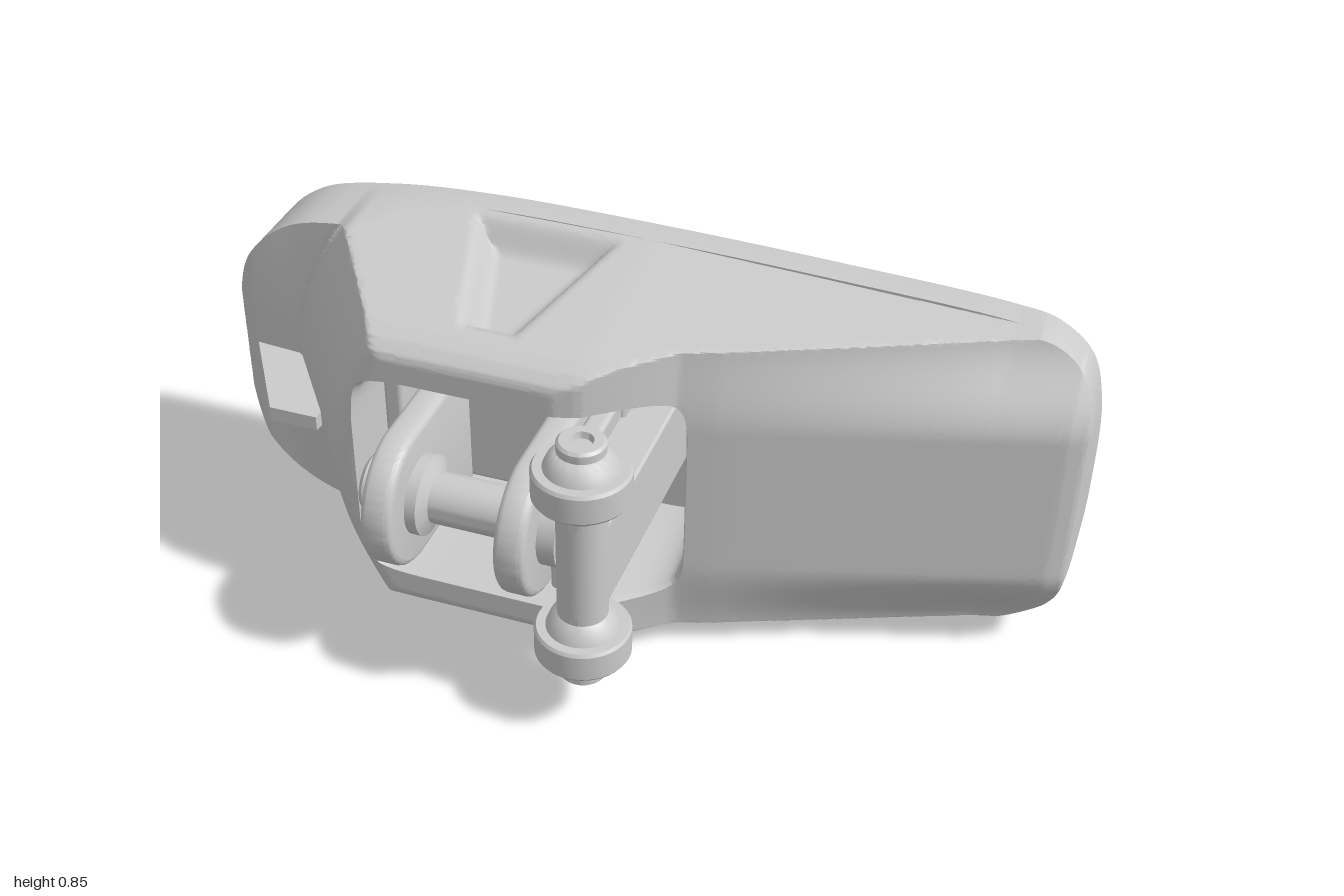
import * as THREE from 'three';
import { toCreasedNormals } from 'three/addons/utils/BufferGeometryUtils.js';
import { RoundedBoxGeometry } from 'three/addons/geometries/RoundedBoxGeometry.js';

const mat = new THREE.MeshStandardMaterial({ color: 0xcccccc });
const thin = new THREE.MeshStandardMaterial({ color: 0xcccccc, side: THREE.DoubleSide });
const { clamp, smoothstep } = THREE.MathUtils;
const CY = 0.42, BACK = -0.39, PX = -0.16, FLOOR = -0.25;

// Piecewise linear lookup in [[x, value], ...]
function lookup(table, x) {
  if (x <= table[0][0]) return table[0][1];
  for (let i = 1; i < table.length; i++) {
    const [x0, v0] = table[i - 1], [x1, v1] = table[i];
    if (x <= x1) return v0 + (v1 - v0) * (x - x0) / (x1 - x0);
  }
  return table[table.length - 1][1];
}

// Lengthwise front profile and cross profile towards the long edges
const TOP = [[-1, -0.26], [-0.985, -0.22], [-0.95, -0.19], [-0.82, -0.18], [-0.59, 0.13], [-0.56, 0.16], [-0.53, 0.17],
  [-0.05, 0.17], [0, 0.155], [0.17, 0.03], [0.25, 0.01], [0.95, -0.205], [0.985, -0.225], [1, -0.26]];
const SIDE = [[0.3, 0.175], [0.33, 0.165], [0.35, 0.14], [0.365, 0.1], [0.39, -0.09], [0.411, -0.245], [0.42, -0.31]];

function frontHeight(x, y) {
  const d = Math.abs(y), right = clamp(x / 0.8, 0, 1);
  const bow = x < -0.2 ? 0.14 * (d / 0.4) ** 2 * smoothstep(x, -1, -0.8) : 0;
  const shoulder = 0.1 * right * smoothstep(d, 0.18, 0.4);
  return Math.max(-0.33, Math.min(lookup(TOP, x - bow) - shoulder, lookup(SIDE, d + 0.035 * right)));
}

// Depth of the tapered recess in each long side
function recess(x, z) {
  const half = 0.18 - (z + 0.3) * 0.3;
  const m = Math.min(z + 0.3, 0.07 - z, half - Math.abs(x + 0.235));
  return 0.06 * smoothstep(m, 0, 0.065);
}

function outline(n) {
  const up = [[0.99, 0.2], [0.955, 0.31], [0.88, 0.37], [0.78, 0.388], [0.4, 0.408], [0, 0.42],
    [-0.4, 0.42], [-0.65, 0.4], [-0.82, 0.36], [-0.92, 0.28], [-0.975, 0.17]];
  const pts = [[1, 0], ...up, [-1, 0], ...up.map(([x, y]) => [x, -y]).reverse()];
  const curve = new THREE.CatmullRomCurve3(pts.map(([x, y]) => new THREE.Vector3(x, y, 0)), true);
  return curve.getSpacedPoints(n).slice(0, n);
}

// Pocket opening as a squarish superellipse, at the angle of an outline point
function pocketPoint(p, scale) {
  const a = Math.atan2(p.y, p.x - PX), c = Math.cos(a), s = Math.sin(a);
  const r = scale * (Math.abs(c / 0.355) ** 9 + Math.abs(s / 0.262) ** 9) ** (-1 / 9);
  return [PX + r * c, r * s];
}

// Shell made of rings: pocket floor, pocket wall, front surface, outer edge
function shellGeometry(edge) {
  const n = edge.length, rings = [], STEPS = 60;
  rings.push(edge.map(() => [PX, 0, FLOOR]));
  rings.push(edge.map(p => [...pocketPoint(p, 0.95), FLOOR]));
  rings.push(edge.map(p => {
    const [x, y] = pocketPoint(p, 0.98);
    return [x, y, frontHeight(x, y) - 0.02];
  }));
  for (let k = 0; k <= STEPS; k++) {
    const t = 1 - (1 - k / STEPS) ** 2;
    rings.push(edge.map(p => {
      const [a, b] = pocketPoint(p, 1);
      const x = a + (p.x - a) * t, y = b + (p.y - b) * t, z = frontHeight(x, y);
      const push = Math.abs(y) > 0.33 ? recess(x, z) : 0;
      return [x, y - Math.sign(y) * push, z];
    }));
  }
  rings.push(edge.map(p => [p.x, p.y, BACK + 0.015]));
  rings.push(edge.map(p => [p.x * 0.993, p.y * 0.983, BACK]));
  const pos = [], idx = [];
  rings.forEach(r => r.forEach(([x, y, z]) => pos.push(x, y + CY, z)));
  for (let j = 0; j < rings.length - 1; j++) {
    for (let i = 0; i < n; i++) {
      const a = j * n + i, b = j * n + (i + 1) % n;
      if (j > 0) idx.push(a, b + n, b);
      idx.push(a, a + n, b + n);
    }
  }
  const g = new THREE.BufferGeometry();
  g.setAttribute('position', new THREE.Float32BufferAttribute(pos, 3));
  g.setIndex(idx);
  return toCreasedNormals(g, 0.9);
}

export function createModel() {
  const model = new THREE.Group();
  const add = (name, geo, x = 0, y = 0, z = 0, material = mat) => {
    const m = new THREE.Mesh(geo, material);
    m.name = name;
    m.position.set(x, y, z);
    model.add(m);
    return m;
  };
  const block = (name, x0, x1, y0, y1, z0, z1, r = 0.012) =>
    add(name, new RoundedBoxGeometry(x1 - x0, y1 - y0, z1 - z0, 2, r), (x0 + x1) / 2, (y0 + y1) / 2, (z0 + z1) / 2);

  const edge = outline(480);
  add('bodyShell', shellGeometry(edge));

  // Flat back plate with blind screw holes
  const R = 0.032, holes = [[0.89, 0], [0.85, 0.2], [0.58, 0.245], [0.37, 0.25], [-0.26, 0.255],
    [-0.61, 0.2], [-0.3, 0.09], [0.11, 0.05], [-0.04, 0.09]]
    .flatMap(([x, y]) => (y ? [[x, y], [x, -y]] : [[x, y]]));
  const plate = new THREE.Shape(edge.map(p => new THREE.Vector2(-p.x * 0.993, p.y * 0.983)));
  const cup = new THREE.LatheGeometry([[0, 0.05], [R, 0.05], [R, 0]].map(p => new THREE.Vector2(...p)), 20);
  const cupGeo = toCreasedNormals(cup.rotateX(Math.PI / 2), 0.5);
  for (const [x, y] of holes) {
    plate.holes.push(new THREE.Path().absarc(-x, y, R, 0, Math.PI * 2, true));
    add('screwHole', cupGeo, x, y + CY, BACK, thin);
  }
  add('backPlate', new THREE.ShapeGeometry(plate, 10).rotateY(Math.PI), 0, CY, BACK);

  // Fin on the end lip
  const fin = new THREE.Shape([[-0.95, -0.22], [-0.945, -0.2], [-0.79, 0.04], [-0.675, 0.04], [-0.65, -0.22]]
    .map(p => new THREE.Vector2(p[0], -p[1])));
  add('fin', new THREE.ExtrudeGeometry(fin, { depth: 0.036, bevelEnabled: false }).rotateX(-Math.PI / 2)
    .translate(0, CY - 0.018, 0));

  // Pair of round-ended links, extruded along x
  const link = new THREE.Shape();
  link.moveTo(0.145, 0.44);
  link.lineTo(0.145, 0);
  link.absarc(0, 0, 0.145, 0, -Math.PI, true);
  link.lineTo(-0.145, 0.44);
  const linkGeo = toCreasedNormals(new THREE.ExtrudeGeometry(link, {
    depth: 0.04, bevelThickness: 0.015, bevelSize: 0.015, bevelSegments: 3, curveSegments: 32,
  }).rotateX(-Math.PI / 2).rotateZ(Math.PI / 2), 0.6);
  linkGeo.computeBoundingBox();
  const c = linkGeo.boundingBox.getCenter(new THREE.Vector3());
  linkGeo.translate(-c.x, -c.y, -linkGeo.boundingBox.max.z);
  for (const x of [-0.385, -0.085]) add('link', linkGeo, x, CY, 0.355);

  // Spool between the links and its end stub
  const spool = [[0, -0.31], [0.06, -0.31], [0.07, -0.3], [0.07, -0.26], [0.09, -0.24], [0.09, -0.165], [0.058, -0.15],
    [0.058, 0.08], [0.09, 0.095], [0.09, 0.15], [0, 0.15]].map(p => new THREE.Vector2(...p));
  add('spool', toCreasedNormals(new THREE.LatheGeometry(spool, 40).rotateZ(-Math.PI / 2), 0.5), PX, CY, 0.19);

  // Frame inside the pocket
  for (const s of [-1, 1]) {
    const y = CY + s * 0.205;
    block('pocketRail', -0.46, -0.03, y - 0.024, y + 0.024, -0.1, 0.02);
  }
  block('pocketCrossbar', -0.485, -0.44, 0.18, 0.66, -0.1, 0.07);
  block('pocketBase', -0.42, 0.02, 0.27, 0.57, -0.26, -0.08);

  // Arm that carries the roller axle
  block('armPlate', -0.04, 0.01, 0.27, 0.57, -0.26, 0.23);
  block('arm', 0, 0.11, 0.315, 0.525, -0.26, 0.285, 0.008);

  // Upright axle and its mirrored rollers
  add('axle', new THREE.CylinderGeometry(0.055, 0.055, 0.28, 32), 0.055, CY, 0.283);
  const roller = [[0.055, 0.12], [0.055, 0.135], [0.07, 0.148], [0.08, 0.173], [0.1, 0.173], [0.105, 0.18],
    [0.105, 0.24], [0.1, 0.247], [0.08, 0.247], [0.072, 0.265], [0.056, 0.281], [0.045, 0.284], [0.052, 0.288],
    [0.052, 0.306], [0.046, 0.312], [0.026, 0.312], [0.022, 0.298], [0, 0.298]].map(p => new THREE.Vector2(...p));
  const rollerGeo = toCreasedNormals(new THREE.LatheGeometry(roller, 40), 0.6);
  add('roller', rollerGeo, 0.055, CY, 0.283);
  add('roller', rollerGeo, 0.055, CY, 0.283).rotation.x = Math.PI;

  return model;
}
